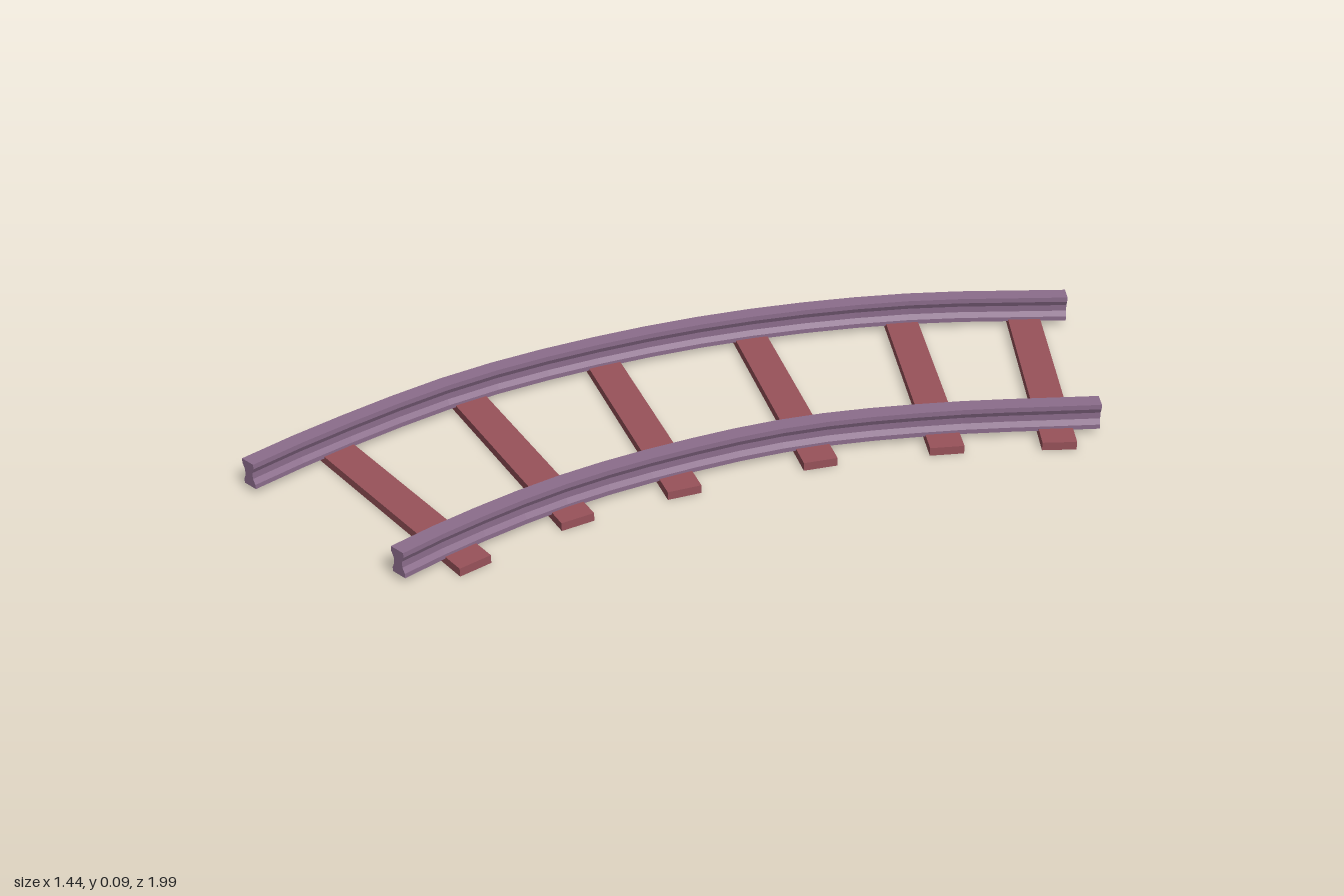
import * as THREE from 'three';

const railMetal = new THREE.MeshStandardMaterial({ color: 0x8c6d8c, flatShading: true });
railMetal.name = 'railMetal';
const sleeperWood = new THREE.MeshStandardMaterial({ color: 0x98525a, flatShading: true, side: THREE.DoubleSide });
sleeperWood.name = 'sleeperWood';

// Half of the waisted rail section: [half width, height], bottom to top
const SECTION = [[0.021, 0.017], [0.021, 0.029], [0.014, 0.043], [0.014, 0.06], [0.021, 0.074], [0.021, 0.087]];

// Sweep the section along a plan curve given as [x, z] points, front to back
function makeRail(name, points) {
  const steps = 16;
  const curve = new THREE.CatmullRomCurve3(points.map(([x, z]) => new THREE.Vector3(x, 0, z)));
  const outline = [...SECTION, ...SECTION.map(([w, y]) => [-w, y]).reverse()];
  const shape = new THREE.Shape(outline.map(([x, y]) => new THREE.Vector2(x, y)));
  const geometry = new THREE.ExtrudeGeometry(shape, { depth: 1, steps, bevelEnabled: false });
  const pos = geometry.attributes.position;
  for (let i = 0; i < pos.count; i++) {
    const u = THREE.MathUtils.clamp(1 - pos.getZ(i), 0, 1);
    const p = curve.getPointAt(u);
    const t = curve.getTangentAt(u);
    if (u < 1e-4) t.set(0, 0, -1); // the front end is cut square to z
    const offset = pos.getX(i);
    pos.setXYZ(i, p.x - t.z * offset, pos.getY(i), p.z + t.x * offset);
  }
  geometry.computeVertexNormals();
  const mesh = new THREE.Mesh(geometry, railMetal);
  mesh.name = name;
  return mesh;
}

// Shallow plank, hollow underneath
function makeSleeperGeometry() {
  const geometry = new THREE.BoxGeometry(0.71, 0.022, 0.086);
  const index = Array.from(geometry.index.array);
  index.splice(18, 6); // leave out the bottom face
  geometry.setIndex(index);
  geometry.clearGroups();
  geometry.translate(0, 0.011, 0);
  return geometry;
}

export function createModel() {
  const track = new THREE.Group();
  track.name = 'curvedTrack';

  track.add(makeRail('outerRail', [
    [-0.65, 1], [-0.63, 0.78], [-0.557, 0.38], [-0.415, 0], [-0.232, -0.34], [0.02, -0.68], [0.32, -0.98],
  ]));
  track.add(makeRail('innerRail', [
    [-0.112, 1], [-0.094, 0.83], [-0.035, 0.54], [0.07, 0.25], [0.212, -0.03], [0.425, -0.31], [0.698, -0.6],
  ]));

  // Sleepers: centre x, centre z, turn in degrees
  const sleepers = [
    [-0.365, 0.798, 9], [-0.303, 0.461, 18], [-0.18, 0.15, 27],
    [-0.003, -0.19, 32], [0.219, -0.488, 40.5], [0.43, -0.712, 45],
  ];
  const geometry = makeSleeperGeometry();
  sleepers.forEach(([x, z, turn], i) => {
    const sleeper = new THREE.Mesh(geometry, sleeperWood);
    sleeper.name = `sleeper${i + 1}`;
    sleeper.position.set(x, 0, z);
    sleeper.rotation.y = -THREE.MathUtils.degToRad(turn);
    track.add(sleeper);
  });
  return track;
}
